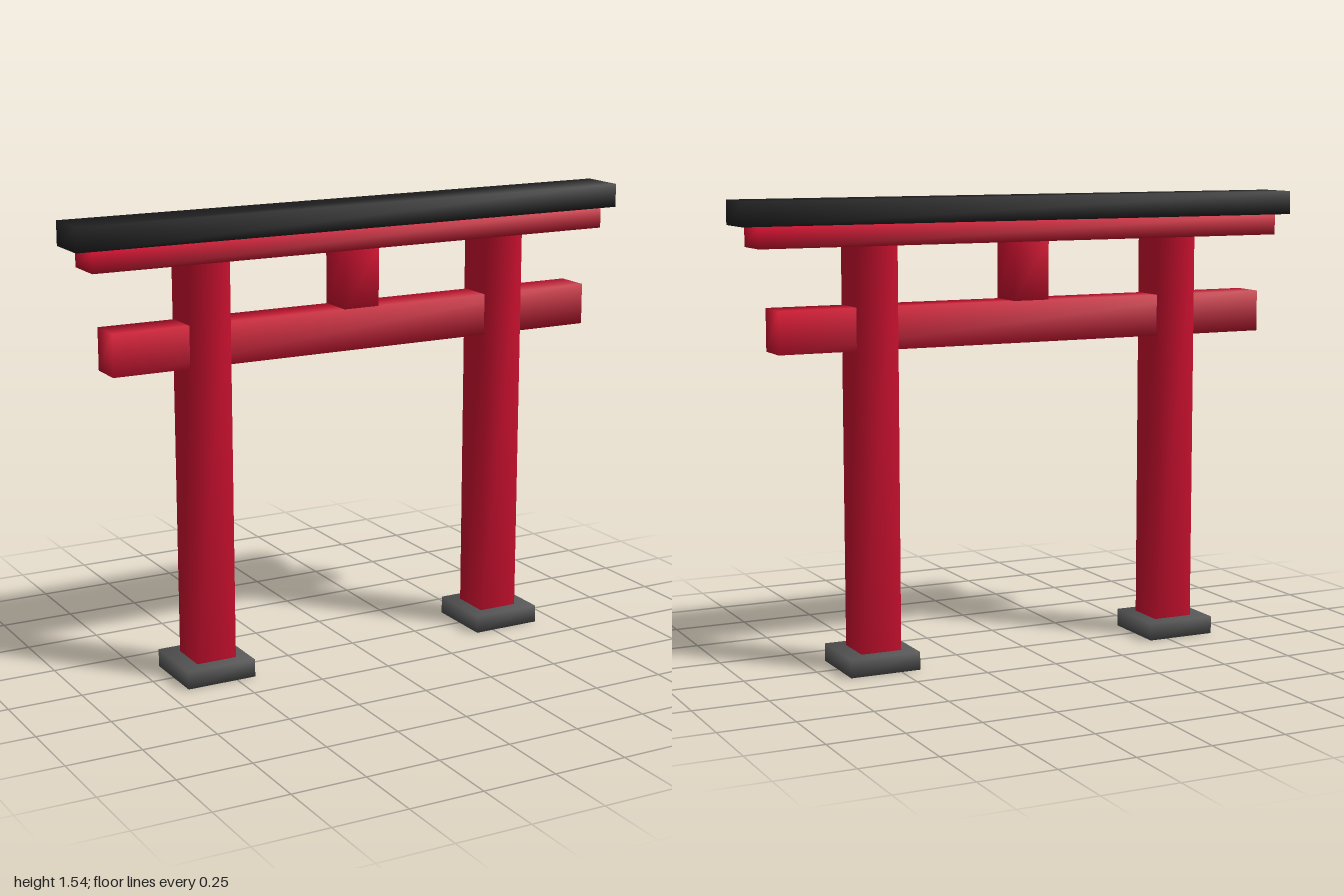
import * as THREE from 'three';
import { mergeVertices } from 'three/addons/utils/BufferGeometryUtils.js';

const paint = (name, color) => {
  const m = new THREE.MeshStandardMaterial({ color });
  m.name = name;
  return m;
};

// Box with shared corners, so its normals blend smoothly across the edges
function softBox(width, height, depth) {
  const box = new THREE.BoxGeometry(width, height, depth);
  box.deleteAttribute('normal');
  box.deleteAttribute('uv');
  const geometry = mergeVertices(box);
  geometry.computeVertexNormals();
  return geometry;
}

export function createModel() {
  const red = paint('vermilion red', 0xc8102e);
  const black = paint('black', 0x1f1f1f);
  const stone = paint('stone grey', 0x555555);

  const gate = new THREE.Group();
  gate.name = 'gate';

  // Adds a block spanning y0 to y1, centred on x and on z = 0
  const block = (name, material, x, y0, y1, width, depth) => {
    const mesh = new THREE.Mesh(softBox(width, y1 - y0, depth), material);
    mesh.name = name;
    mesh.position.set(x, (y0 + y1) / 2, 0);
    gate.add(mesh);
  };

  // Pillars on stone footings
  for (const [side, s] of [['left', 1], ['right', -1]]) {
    block(side + 'Footing', stone, s * 0.555, 0, 0.06, 0.242, 0.242);
    block(side + 'Pillar', red, s * 0.55, 0.06, 1.39, 0.14, 0.14);
  }

  // Tie beam and the short strut above it
  block('tieBeam', red, 0, 1.055, 1.195, 1.765, 0.12);
  block('centreStrut', red, 0, 1.195, 1.39, 0.128, 0.128);

  // Lintel and its black cap
  block('lintel', red, 0, 1.39, 1.46, 1.89, 0.14);
  block('topCap', black, 0, 1.46, 1.54, 2, 0.16);

  return gate;
}
